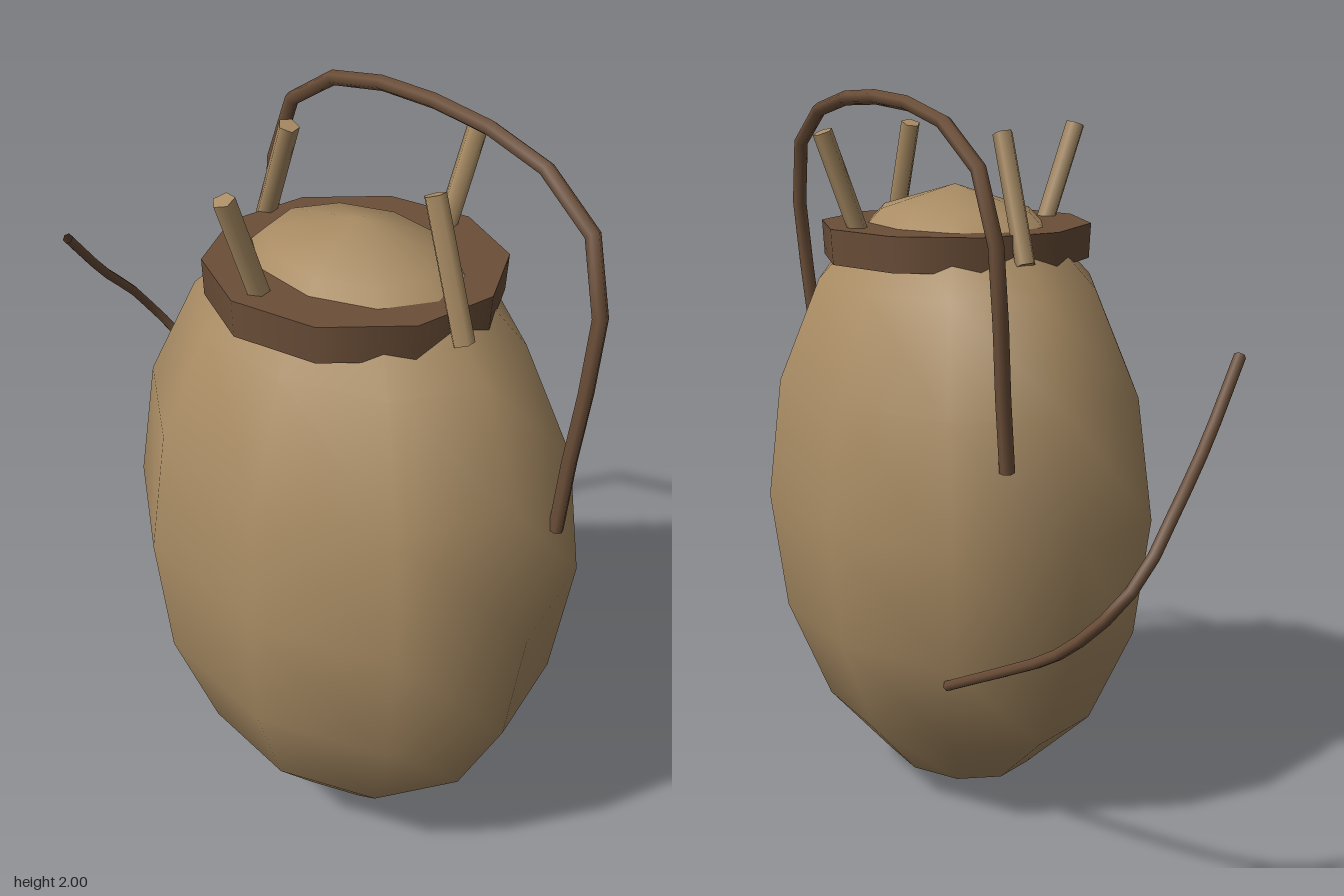
import * as THREE from 'three';

export function createModel() {
  const model = new THREE.Group();
  const tan = new THREE.MeshStandardMaterial({ color: 0xa98c64 });
  tan.name = 'tan';
  const brown = new THREE.MeshStandardMaterial({ color: 0x6b4e38, side: THREE.DoubleSide });
  brown.name = 'brown';
  const cx = 0.245; // centre line of the body

  const add = (name, geometry, material, x = 0, y = 0, z = 0) => {
    const mesh = new THREE.Mesh(geometry, material);
    mesh.name = name;
    mesh.position.set(x, y, z);
    model.add(mesh);
    return mesh;
  };
  const tube = (points, segments, radius) => {
    const path = new THREE.CatmullRomCurve3(points.map((p) => new THREE.Vector3(...p)));
    return new THREE.TubeGeometry(path, segments, radius, 6);
  };

  // Egg-shaped body, flattened front to back
  const body = add('body', new THREE.SphereGeometry(1, 10, 8), tan, cx, 0.874, 0);
  body.scale.set(0.665, 0.87, 0.52);

  // Collar round the top
  add('collar', new THREE.CylinderGeometry(0.375, 0.37, 0.095, 10), brown, cx, 1.593, 0);

  // Four pegs: the side pair leans in, the front and back pair leans out
  for (const s of [-1, 1]) {
    const peg = () => new THREE.CylinderGeometry(0.028, 0.028, 0.35, 5);
    add('sidePeg', peg(), tan, cx + s * 0.325, 1.73, 0).rotation.z = s * 0.35;
    add('endPeg', peg(), tan, cx, 1.73, s * 0.33).rotation.x = s * 0.35;
  }

  // Arched handle, mirrored about the body's centre line
  const half = [[0.575, 1.08], [0.58, 1.25], [0.595, 1.45], [0.6, 1.65],
    [0.545, 1.825], [0.385, 1.93], [0.195, 1.97]];
  const lean = (x, y) => [cx + x, y, -0.165 - (y - 1.08) * 0.08];
  const arch = [
    ...half.map(([x, y]) => lean(-x, y)),
    lean(0, 1.98),
    ...half.map(([x, y]) => lean(x, y)).reverse(),
  ];
  add('handle', tube(arch, 14, 0.02), brown);

  // Curling tail from the back
  const tail = [[-0.22, 0.49, -0.28], [-0.37, 0.565, -0.277], [-0.55, 0.655, -0.268],
    [-0.7, 0.735, -0.255], [-0.81, 0.82, -0.235], [-0.88, 0.91, -0.19],
    [-0.895, 0.99, -0.13], [-0.87, 1.085, -0.05], [-0.8, 1.22, 0.09], [-0.715, 1.405, 0.25]];
  add('tail', tube(tail, 16, 0.015), brown);

  return model;
}
